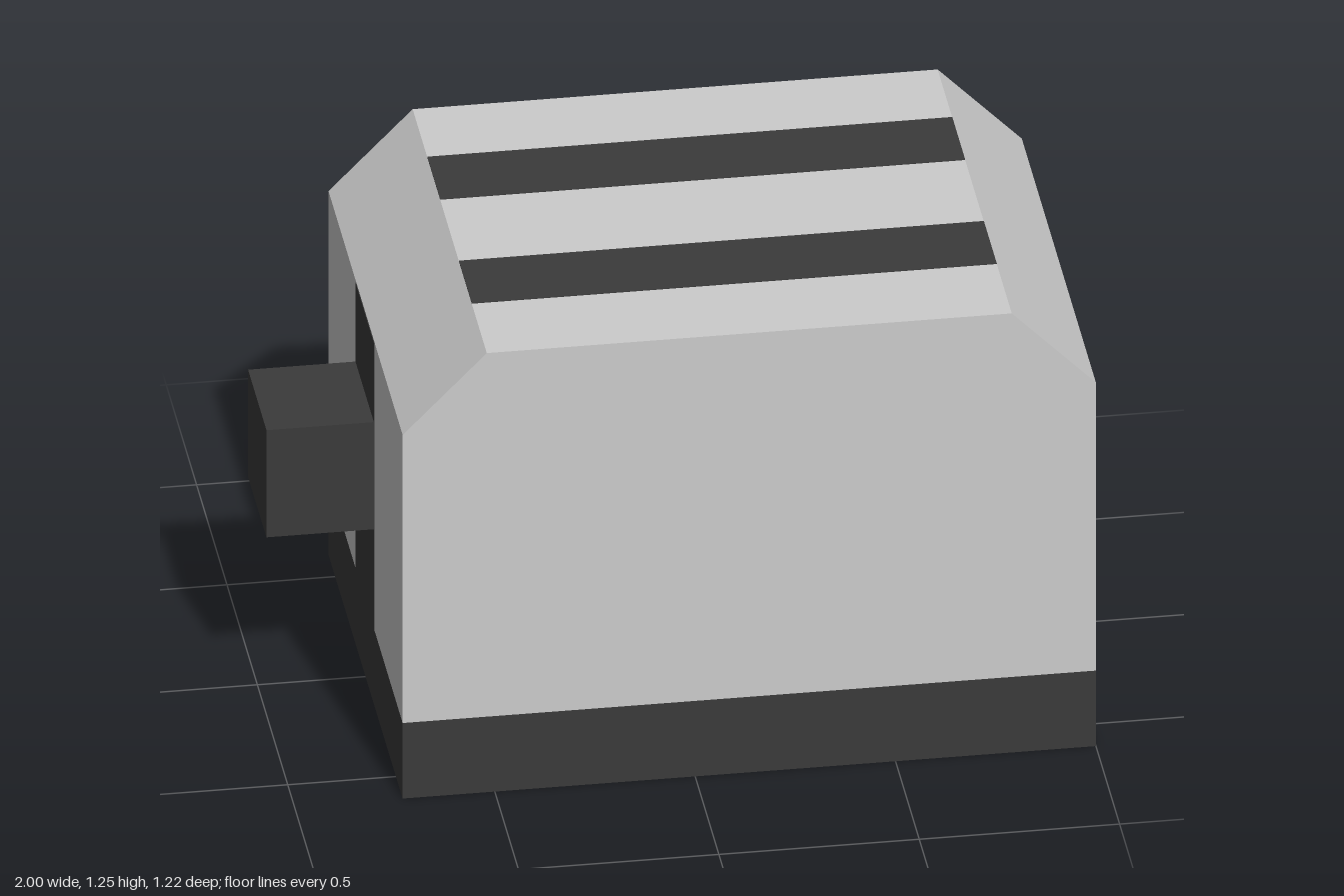
import * as THREE from 'three';

const grey = new THREE.MeshStandardMaterial({ color: 0xcccccc, flatShading: true });
const dark = new THREE.MeshStandardMaterial({ color: 0x3a3a3a, flatShading: true });

// Box given by its minimum and maximum corners
function addBox(group, name, [x0, y0, z0], [x1, y1, z1], material) {
  const mesh = new THREE.Mesh(new THREE.BoxGeometry(x1 - x0, y1 - y0, z1 - z0), material);
  mesh.position.set((x0 + x1) / 2, (y0 + y1) / 2, (z0 + z1) / 2);
  mesh.name = name;
  group.add(mesh);
}

export function createModel() {
  const toaster = new THREE.Group();
  toaster.name = 'toaster';

  const left = -0.73, right = 1, depth = 0.61;
  const baseTop = 0.215, shoulder = 1.035, top = 1.25, bevel = 0.21;
  const proud = 0.002; // inlays sit just above the shell to avoid overlap

  // Housing: chamfered profile extruded front to back
  const profile = new THREE.Shape([
    new THREE.Vector2(left, baseTop),
    new THREE.Vector2(right, baseTop),
    new THREE.Vector2(right, shoulder),
    new THREE.Vector2(right - bevel, top),
    new THREE.Vector2(left + bevel, top),
    new THREE.Vector2(left, shoulder),
  ]);
  const shell = new THREE.ExtrudeGeometry(profile, { depth: 2 * depth, bevelEnabled: false });
  shell.translate(0, 0, -depth);
  const housing = new THREE.Mesh(shell, grey);
  housing.name = 'housing';
  toaster.add(housing);

  // Dark base band with a grey underside
  addBox(toaster, 'base', [left, 0, -depth], [right, baseTop, depth],
    [dark, dark, dark, grey, dark, dark]);

  // Two bread slots, flush with the top
  for (const [name, z] of [['frontSlot', 0.257], ['backSlot', -0.263]]) {
    addBox(toaster, name, [left + bevel, top - 0.01, z - 0.106],
      [right - bevel, top + proud, z + 0.106], dark);
  }

  // Lever track on the end wall, and the lever itself
  addBox(toaster, 'leverTrack', [left - proud, baseTop, -0.153], [left + 0.01, shoulder, 0.15], dark);
  addBox(toaster, 'lever', [-1, 0.505, -0.153], [left, 0.81, 0.15], dark);

  return toaster;
}
